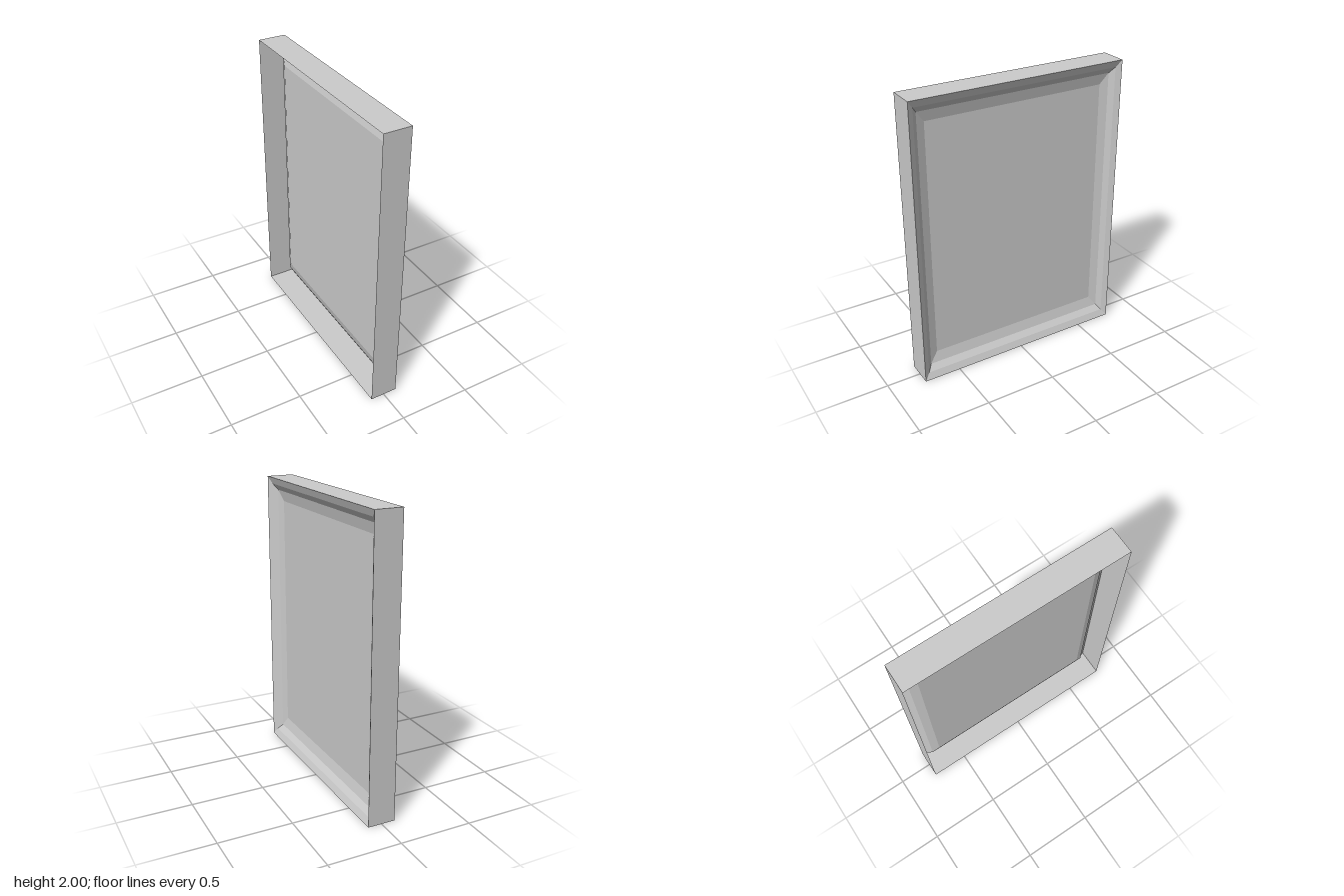
import * as THREE from 'three';

const HALF_Z = 0.76;
const HALF_Y = 1;
const CENTRE_Y = 1;

// Corners of a rectangular ring at depth x, counter-clockwise seen from +x.
function ring([scale, x]) {
  return [[1, -1], [-1, -1], [-1, 1], [1, 1]].map(([z, y]) =>
    [x, CENTRE_Y + y * HALF_Y * scale, z * HALF_Z * scale]);
}

// Skin a list of rings with flat quads, optionally closing the last one.
function skin(name, profile, capped, material) {
  const rings = profile.map(ring);
  const points = [];
  const quad = (a, b, c, d) => points.push(...a, ...b, ...c, ...a, ...c, ...d);
  for (let r = 0; r < rings.length - 1; r++) {
    for (let i = 0; i < 4; i++) {
      const j = (i + 1) % 4;
      quad(rings[r][i], rings[r][j], rings[r + 1][j], rings[r + 1][i]);
    }
  }
  if (capped) quad(...rings[rings.length - 1]);
  const geometry = new THREE.BufferGeometry();
  geometry.setAttribute('position', new THREE.Float32BufferAttribute(points, 3));
  geometry.computeVertexNormals();
  const mesh = new THREE.Mesh(geometry, material);
  mesh.name = name;
  return mesh;
}

export function createModel() {
  const model = new THREE.Group();
  model.name = 'framedPanel';
  const material = new THREE.MeshStandardMaterial({
    color: 0xcccccc, flatShading: true, side: THREE.DoubleSide,
  });

  // Thin side walls, open at the back
  model.add(skin('sideWalls', [[1, -0.095], [1, 0.095]], false, material));

  // Stepped, bevelled border that sinks inward
  model.add(skin('frameMoulding',
    [[1, 0.095], [0.951, 0.075], [0.91, 0.045], [0.836, 0.027]], false, material));

  // Flat recessed panel
  model.add(skin('panel', [[0.836, 0.027]], true, material));

  return model;
}
